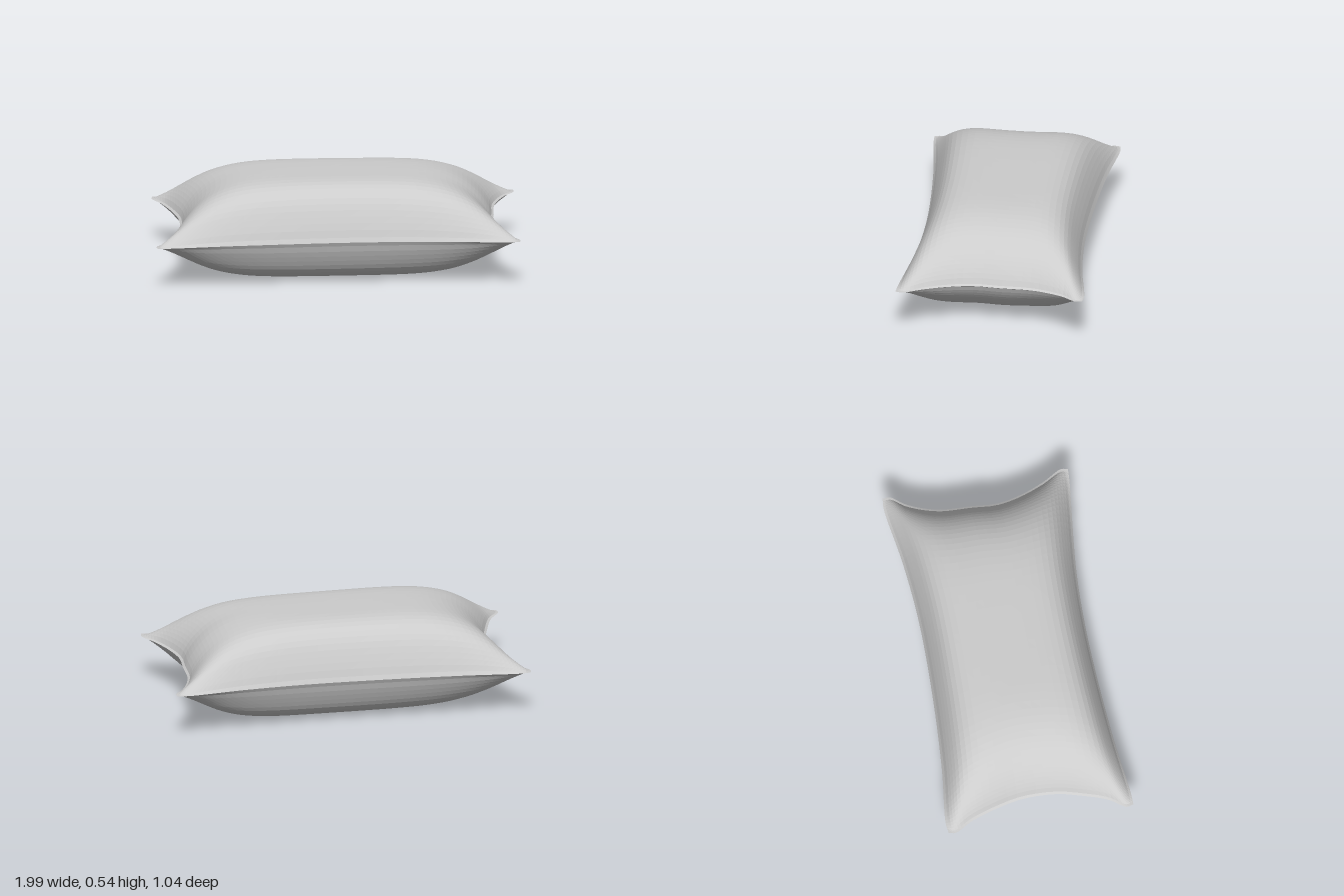
import * as THREE from 'three';

const NU = 52, NV = 32;
const SEAM_Y = 0.25;

// Seam outline: four gently concave sides given as [x, z], sharing their corners
const side = (pts) => new THREE.CatmullRomCurve3(
  pts.map(([x, z]) => new THREE.Vector3(x, 0, z)), false, 'centripetal');
const A = [-0.962, -0.516], B = [0.992, -0.5], C = [0.968, 0.518], D = [-0.992, 0.497];
const back = side([A, [-0.91, -0.522], [-0.6, -0.483], [-0.2, -0.453], [0.25, -0.442], [0.6, -0.463], [0.93, -0.505], B]);
const front = side([D, [-0.93, 0.496], [-0.6, 0.464], [-0.2, 0.442], [0.1, 0.438], [0.4, 0.452], [0.9, 0.513], C]);
const left = side([A, [-0.97, -0.48], [-0.92, -0.38], [-0.87, -0.22], [-0.845, -0.08], [-0.853, 0.1], [-0.885, 0.22], [-0.94, 0.37], [-1, 0.46], D]);
const right = side([B, [0.993, -0.46], [0.935, -0.38], [0.875, -0.22], [0.86, -0.03], [0.848, 0.1], [0.87, 0.23], [0.92, 0.37], [0.975, 0.48], C]);

// Blend the four sides into a patch position for s, t in 0..1
function patch(s, t) {
  const b = back.getPointAt(s), f = front.getPointAt(s);
  const l = left.getPointAt(t), r = right.getPointAt(t);
  const mix = (k, i) => (1 - t) * b[k] + t * f[k] + (1 - s) * l[k] + s * r[k]
    - ((1 - s) * (1 - t) * A[i] + s * (1 - t) * B[i] + s * t * C[i] + (1 - s) * t * D[i]);
  return [mix('x', 0), mix('z', 1)];
}

// Sample spacing, slightly tighter towards the seam
const ease = (k) => k - 0.1 * Math.sin(2 * Math.PI * k);

// Stuffing profile across one direction, ending in a narrow flat lip
const profile = (w, lip, power) =>
  Math.pow(1 - Math.min(1, Math.abs(w) / (1 - lip)) ** 5, power);

// One stuffed half: sign +1 is the upper side, -1 the lower
function half(sign, depth) {
  const pos = [], idx = [];
  for (let j = 0; j <= NV; j++) {
    for (let i = 0; i <= NU; i++) {
      const s = ease(i / NU), t = ease(j / NV);
      const u = 2 * s - 1, v = 2 * t - 1;
      const pinch = 1 - 0.25 * (u * v) ** 2;
      const puff = profile(u, 0.012, 0.8) * profile(v, 0.012, 0.85) * pinch;
      const [x, z] = patch(s, t);
      // Seam lifts a little at the corners
      const seam = SEAM_Y + (1 - puff) * (0.005 * u + 0.006 * u * u * v * v);
      pos.push(x, seam + sign * depth * puff, z);
    }
  }
  for (let j = 0; j < NV; j++) {
    for (let i = 0; i < NU; i++) {
      const a = j * (NU + 1) + i, b = a + 1, c = a + NU + 1, d = c + 1;
      if (sign > 0) idx.push(a, c, b, b, c, d);
      else idx.push(a, b, c, b, d, c);
    }
  }
  const g = new THREE.BufferGeometry();
  g.setAttribute('position', new THREE.Float32BufferAttribute(pos, 3));
  g.setIndex(idx);
  g.computeVertexNormals();
  return g;
}

export function createModel() {
  const group = new THREE.Group();
  group.name = 'pillow';
  const material = new THREE.MeshStandardMaterial({ color: 0xcccccc, flatShading: true });

  // Upper and lower fabric panels meeting at the seam
  const top = new THREE.Mesh(half(1, 0.29), material);
  top.name = 'topPanel';
  const bottom = new THREE.Mesh(half(-1, SEAM_Y), material);
  bottom.name = 'bottomPanel';
  group.add(top, bottom);
  return group;
}
